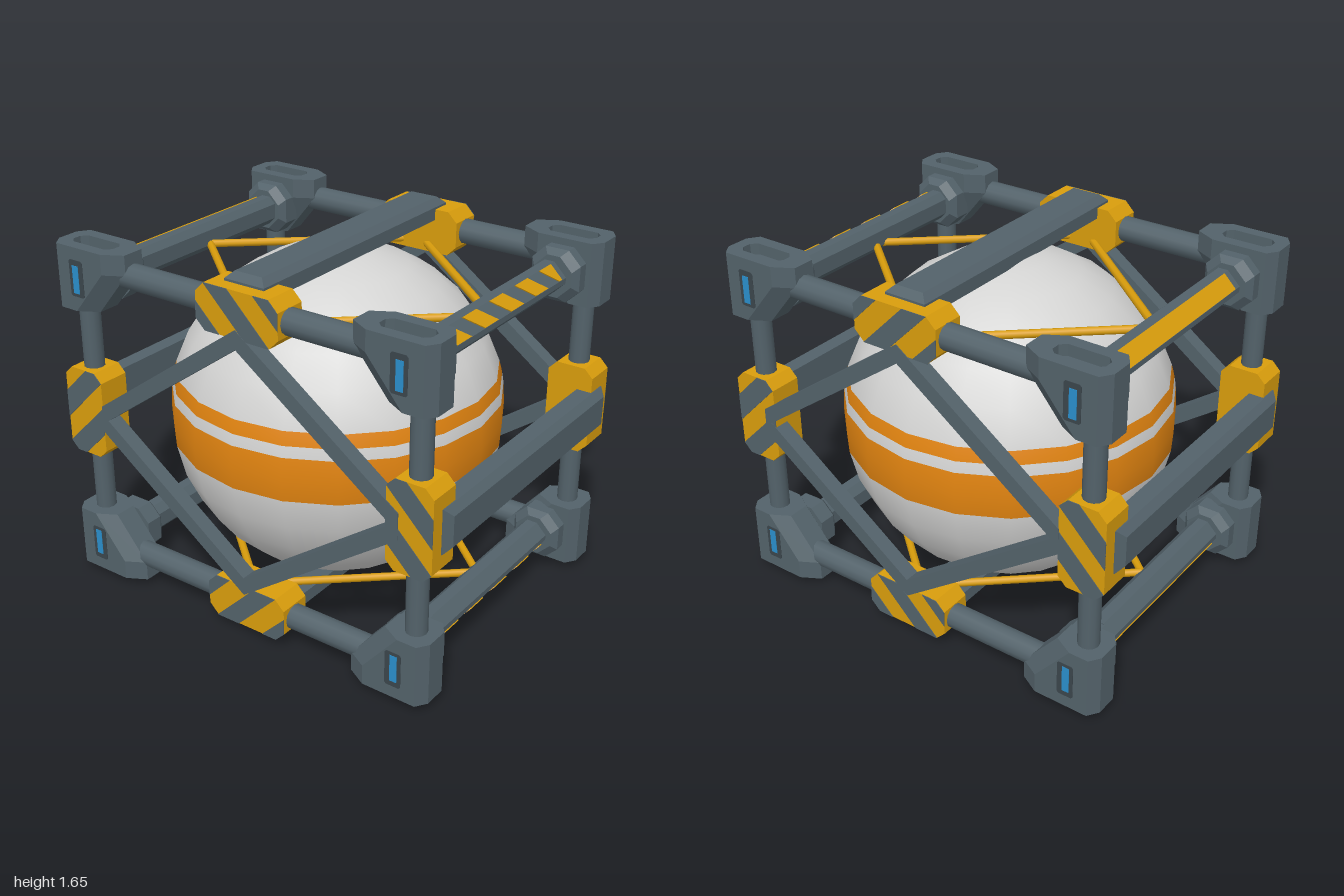
import * as THREE from 'three';
import { ConvexGeometry } from 'three/addons/geometries/ConvexGeometry.js';

const material = (name, color) => {
  const m = new THREE.MeshStandardMaterial({ color });
  m.name = name;
  return m;
};

// Mirrors a geometry by signs and keeps its faces outward
function mirrored(geo, sx, sy, sz) {
  const g = geo.index ? geo.toNonIndexed() : geo.clone();
  g.scale(sx, sy, sz);
  if (sx * sy * sz < 0) {
    for (const { array, itemSize: n, count } of Object.values(g.attributes)) {
      for (let i = 0; i < count; i += 3) {
        for (let k = 0; k < n; k++) {
          const a = (i + 1) * n + k, b = (i + 2) * n + k;
          [array[a], array[b]] = [array[b], array[a]];
        }
      }
    }
  }
  return g;
}

const shapeOf = (pts) => new THREE.Shape(pts.map(([a, b]) => new THREE.Vector2(a, b)));
const extrude = (shape, depth) => new THREE.ExtrudeGeometry(shape, { depth, bevelEnabled: false });
// Prism along x from points in (z, y)
const prismX = (pts, x0, x1) =>
  extrude(shapeOf(pts), x1 - x0).rotateY(-Math.PI / 2).translate(x1, 0, 0);
const convex = (pts) => new ConvexGeometry(pts.map((p) => new THREE.Vector3(...p)));

// Rectangle with cut corners: ca, cb0 at the low b end, cb1 at the high b end
const octagon = (a0, a1, b0, b1, ca, cb0 = ca, cb1 = cb0) => [
  [a0 + ca, b0], [a1 - ca, b0], [a1, b0 + cb0], [a1, b1 - cb1],
  [a1 - ca, b1], [a0 + ca, b1], [a0, b1 - cb1], [a0, b0 + cb0],
];

// Keeps the part of a polygon where lo < a + b < hi
function band(pts, lo, hi) {
  const half = (poly, f) => poly.flatMap((p, i) => {
    const q = poly[(i + 1) % poly.length], fp = f(p), fq = f(q), t = fp / (fp - fq);
    const out = fp >= 0 ? [p] : [];
    if (fp * fq < 0) out.push([p[0] + (q[0] - p[0]) * t, p[1] + (q[1] - p[1]) * t]);
    return out;
  });
  return half(half(pts, (p) => p[0] + p[1] - lo), (p) => hi - p[0] - p[1]);
}

function rod(a, b, r, sides) {
  const A = new THREE.Vector3(...a), B = new THREE.Vector3(...b), d = B.clone().sub(A);
  const g = new THREE.CylinderGeometry(r, r, d.length(), sides);
  g.applyQuaternion(new THREE.Quaternion().setFromUnitVectors(
    new THREE.Vector3(0, 1, 0), d.normalize()));
  const mid = A.add(B).multiplyScalar(0.5);
  return g.translate(mid.x, mid.y, mid.z);
}

export function createModel() {
  const metal = material('steel grey', 0x53626a);
  const recess = material('recess grey', 0x3b464c);
  const yellow = material('hazard yellow', 0xd99d0c);
  const orange = material('band orange', 0xe08310);
  const white = material('shell white', 0xd4d4d3);
  const blue = material('window blue', 0x2a8fcc);

  const root = new THREE.Group();
  root.name = 'cagedSphere';
  const frame = new THREE.Group();
  frame.name = 'frame';
  frame.position.y = 0.825;
  root.add(frame);
  const add = (name, geo, mat, sx = 1, sy = 1, sz = 1, dz = 0) => {
    const mesh = new THREE.Mesh(mirrored(geo, sx, sy, sz), mat);
    mesh.name = name;
    mesh.position.z = dz;
    frame.add(mesh);
  };
  const S = [1, -1];
  const off = 0.028; // upper, lower and side braces sit slightly forward

  // Sphere in coloured latitude bands
  const R = 0.75;
  const cuts = [R, 0.215, 0.155, 0.105, -0.095, -R].map((y) => Math.acos(y / R));
  [6, 1, 1, 2, 7].forEach((n, i) => {
    const g = new THREE.SphereGeometry(R, 20, n, 0, Math.PI * 2, cuts[i], cuts[i + 1] - cuts[i]);
    add(i % 2 ? 'sphereBand' : 'sphereShell', g, i % 2 ? orange : white);
  });

  // Corner block: slotted cap over a body whose inner end slopes away
  const outline = (z0) => octagon(0.55, 0.753, z0, 0.955, 0.05, 0.09, 0.035);
  const capShape = shapeOf(outline(0.575));
  capShape.holes.push(new THREE.Path(
    octagon(0.607, 0.697, 0.67, 0.9, 0.025).map(([a, b]) => new THREE.Vector2(a, b))));
  const cap = extrude(capShape, 0.05).rotateX(Math.PI / 2).translate(0, 0.791, 0);
  const body = convex([[0.575, 0.741], [0.575, 0.7], [0.74, 0.502]]
    .flatMap(([z0, y]) => outline(z0).map(([x, z]) => [x, y, z])));
  const slot = prismX(octagon(0.775, 0.852, 0.57, 0.735, 0.008), 0.751, 0.755);
  const pane = prismX([[0.8, 0.585], [0.834, 0.585], [0.834, 0.71], [0.8, 0.71]], 0.752, 0.757);

  // Socket joining a corner block to its cross bar
  const ring = (x, inset) => octagon(0.67 + inset, 0.9 - inset, 0.525 + inset, 0.76 - inset, 0.06)
    .map(([z, y]) => [x, y, z]);
  const socket = convex([...ring(0.58, 0), ...ring(0.5, 0), ...ring(0.47, 0.025)]);
  const post = rod([0.652, 0, 0.858], [0.652, 0.55, 0.858], 0.047, 12);
  const rail = rod([0.655, 0.685, 0], [0.655, 0.685, 0.68], 0.057, 12);
  const brace = prismX([[0.78, -0.025], [0.78, 0.06], [0, 0.62], [0, 0.535]], 0.66, 0.732);
  const stay = rod([0.6, 0.612, 0.05], [0, 0.612, 0.74], 0.018, 8);

  for (const sx of S) for (const sy of S) for (const sz of S) {
    add('cornerCap', cap, metal, sx, sy, sz);
    add('cornerBody', body, metal, sx, sy, sz);
    add('cornerSlot', slot, recess, sx, sy, sz);
    add('cornerWindow', pane, blue, sx, sy, sz);
    add('barSocket', socket, metal, sx, sy, sz);
    add('post', post, metal, sx, sy, sz);
    add('rail', rail, metal, sx, sy, sz);
    add('sideBrace', brace, metal, sx, sy, sz, off);
    add('thinStay', stay, yellow, sx, sy, sz, off * 0.6);
  }

  // Clamps at the middle of rails and posts, with diagonal stripes outside
  const clamp = (name, face, [cz, cy], bands, signs) => {
    const solid = prismX(face, 0.575, 0.728);
    for (const [sy, sz, dz] of signs) for (const sx of S) {
      add(name, solid, yellow, sx, sy, sz, dz);
      for (const [lo, hi] of bands) {
        const g = prismX(band(face, cz + cy + lo, cz + cy + hi), 0.727, 0.731);
        add(name + 'Stripe', g, metal, sx, sy, sz, dz);
      }
    }
  };
  clamp('railClamp', octagon(-0.207, 0.207, 0.58, 0.785, 0.045), [0, 0.682],
    [[-0.4, -0.19], [-0.06, 0.06], [0.19, 0.4]], [[1, 1, 0.035], [-1, 1, 0.035]]);
  clamp('postClamp', octagon(0.75, 0.965, -0.205, 0.207, 0.04), [0.858, 0],
    [[0.06, 0.19], [-0.19, -0.06]], [[1, 1, 0], [1, -1, 0]]);

  // Bevelled beams across front, back, top and bottom
  const beamPts = (outer, inner) => [
    [0.665, 0.1, inner], [0.665, 0.1, outer - 0.03], [0.635, 0.068, outer],
  ].flatMap(([x, w, d]) => S.flatMap((a) => S.map((b) => [a * x, b * w, d])));
  const frontBeam = convex(beamPts(1, 0.895));
  const topBeam = convex(beamPts(0.825, 0.735)).rotateX(-Math.PI / 2);
  for (const s of S) {
    add('crossBeam', frontBeam, metal, 1, 1, s);
    add('crossBeam', topBeam, metal, 1, s, 1, off);
  }

  // Cross bars: striped at the front, plain yellow strip at the back
  const bar = prismX([[0.79, 0.71], [0.85, 0.65], [0.85, 0.625], [0.8, 0.575],
    [0.75, 0.575], [0.715, 0.61], [0.715, 0.68], [0.745, 0.71]], -0.48, 0.48);
  const strip = [[-0.43, -0.041], [0.43, -0.041], [0.43, 0.041], [-0.43, 0.041]];
  const plate = (pts) => extrude(shapeOf(pts), 0.005)
    .rotateX(-Math.PI / 4).translate(0, 0.68, 0.82);
  for (const sy of S) {
    for (const sz of S) add('crossBar', bar, metal, 1, sy, sz);
    add('backBarStrip', plate(strip), yellow, 1, sy, -1);
    for (let i = -2; i <= 2; i++) {
      const c = i * 0.205 + 0.01;
      add('frontBarStripe', plate(band(strip, c - 0.052, c + 0.052)), yellow, 1, sy, 1);
    }
  }
  return root;
}
